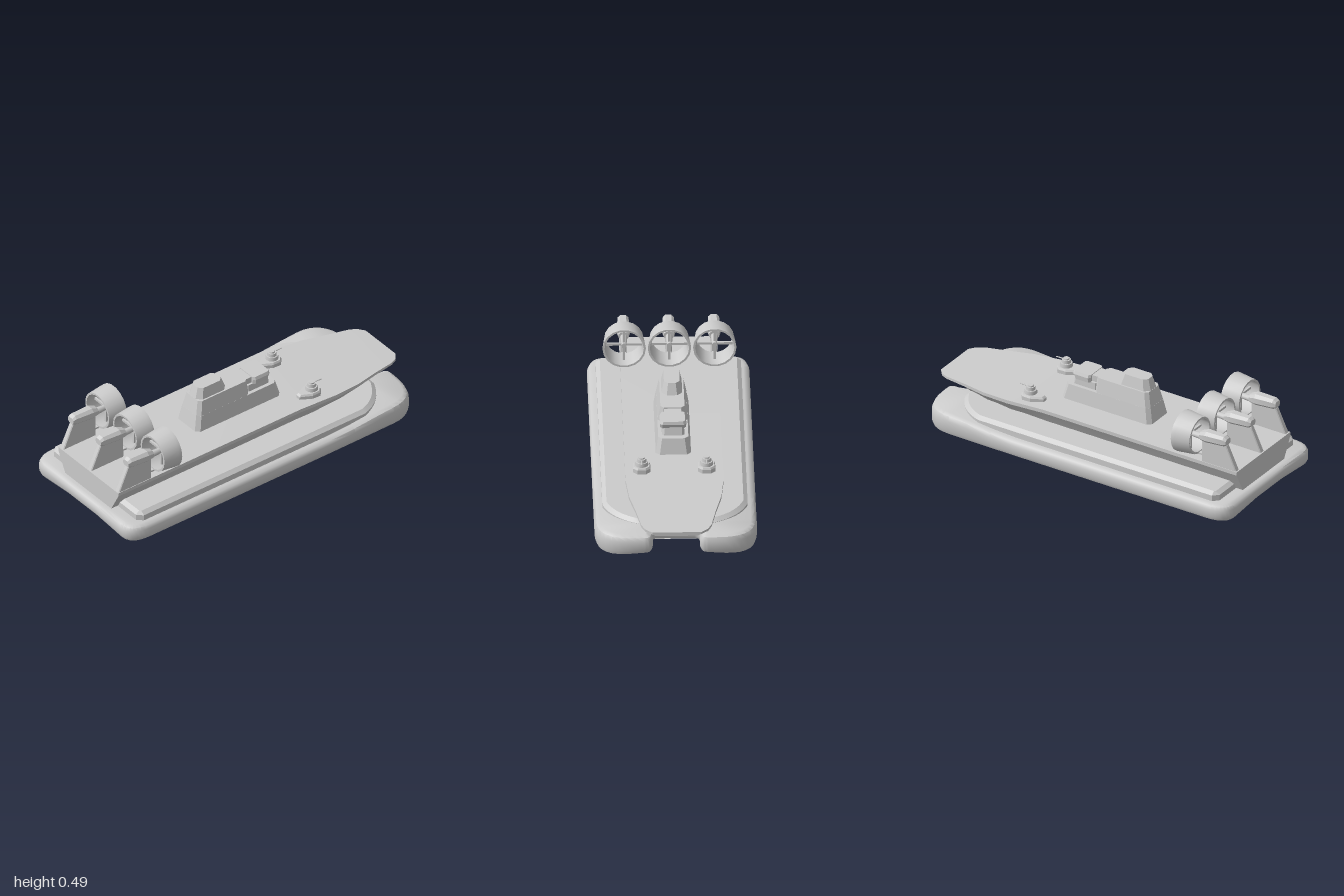
import * as THREE from 'three';
import { toCreasedNormals } from 'three/addons/utils/BufferGeometryUtils.js';

const grey = new THREE.MeshStandardMaterial({ color: 0xcccccc });

function mesh(name, geometry, parent) {
  const m = new THREE.Mesh(geometry, grey);
  m.name = name;
  parent.add(m);
  return m;
}

// Skin a closed solid over rings of [x, y, z] points, facing outward
function loft(rings, crease = 0.5) {
  const n = rings[0].length, pos = rings.flat(2), idx = [];
  for (let r = 0; r < rings.length - 1; r++) {
    for (let i = 0; i < n; i++) {
      const a = r * n + i, b = r * n + (i + 1) % n;
      idx.push(a, b, b + n, a, b + n, a + n);
    }
  }
  [0, rings.length - 1].forEach((r, end) => {
    const c = pos.length / 3;
    for (let k = 0; k < 3; k++) pos.push(rings[r].reduce((s, p) => s + p[k], 0) / n);
    for (let i = 0; i < n; i++) {
      const a = r * n + i, b = r * n + (i + 1) % n;
      idx.push(...(end ? [a, b, c] : [b, a, c]));
    }
  });
  // turn the faces round if the signed volume is negative
  const v = (i) => new THREE.Vector3().fromArray(pos, i * 3);
  let volume = 0;
  for (let i = 0; i < idx.length; i += 3) volume += v(idx[i]).dot(v(idx[i + 1]).cross(v(idx[i + 2])));
  if (volume < 0) idx.reverse();
  const g = new THREE.BufferGeometry();
  g.setAttribute('position', new THREE.Float32BufferAttribute(pos, 3));
  g.setIndex(idx);
  return toCreasedNormals(g, crease);
}

// Horizontal rectangle with cut corners
const plan = (x0, x1, h, c, y, z = 0) => [
  [x0 + c, -h], [x1 - c, -h], [x1, -h + c], [x1, h - c],
  [x1 - c, h], [x0 + c, h], [x0, h - c], [x0, -h + c],
].map(([x, w]) => [x, y, z + w]);

// Half outline mirrored in z to a full loop
function mirrored(shape, divisions) {
  const half = shape.getPoints(divisions);
  const other = half.slice(1, -1).reverse().map((p) => new THREE.Vector2(p.x, -p.y));
  return half.concat(other);
}

// Loop moved inward by d, as [x, z] pairs
function inset(loop, d) {
  return loop.map((p, i) => {
    const a = loop[(i + loop.length - 1) % loop.length], b = loop[(i + 1) % loop.length];
    const t = b.clone().sub(a).normalize();
    return [p.x - t.y * d, p.y + t.x * d];
  });
}

function skirtGeometry() {
  const s = new THREE.Shape();
  s.moveTo(0.8, 0);
  s.lineTo(0.8, 0.09);
  s.quadraticCurveTo(0.8, 0.125, 0.84, 0.125);
  s.lineTo(0.9, 0.125);
  s.quadraticCurveTo(0.945, 0.125, 0.945, 0.17);
  s.lineTo(0.945, 0.21);
  s.quadraticCurveTo(0.945, 0.43, 0.76, 0.43);
  for (const x of [0.65, 0.5, 0.35, 0, -0.87]) s.lineTo(x, 0.43);
  s.quadraticCurveTo(-1, 0.43, -1, 0.33);
  s.lineTo(-1, 0.12);
  s.lineTo(-1, 0);
  const loop = mirrored(s, 8);
  const low = (z) => 0.022 * (1 - THREE.MathUtils.smoothstep(Math.abs(z), 0.12, 0.4));
  const high = (x) => 0.097 + 0.033 * THREE.MathUtils.smoothstep(x, 0.35, 0.85);
  const ring = (d, f) => inset(loop, d).map(([x, z]) => [x, low(z) + (high(x) - low(z)) * f, z]);
  // flat centre strip of the underside and top
  const core = (w, f) => inset(loop, 0.03).map(([x, z]) => {
    const cx = Math.min(x, 0.78), cz = THREE.MathUtils.clamp(z, -w, w);
    return [cx, low(cz) + (high(cx) - low(cz)) * f, cz];
  });
  return loft([core(0, 0), core(0.12, 0), ring(0.03, 0), ring(0.008, 0.1), ring(0, 0.28),
    ring(0, 0.72), ring(0.01, 0.91), ring(0.032, 1), core(0.12, 1), core(0, 1)], 0.7);
}

function upperSkirtGeometry() {
  const s = new THREE.Shape();
  s.moveTo(0.8, 0);
  s.lineTo(0.8, 0.2);
  s.quadraticCurveTo(0.74, 0.345, 0.6, 0.385);
  s.lineTo(-0.88, 0.385);
  s.lineTo(-0.91, 0.355);
  s.lineTo(-0.91, 0);
  const loop = mirrored(s, 8);
  const ring = (d, y) => inset(loop, d).map(([x, z]) => [x, y, z]);
  return loft([ring(0, 0.08), ring(0, 0.13), ring(0.022, 0.148)]);
}

function hullGeometry() {
  // x, deck half width, deck height, edge depth, keel half width, keel height
  const stations = [
    [-0.955, 0.26, 0.235, 0.02, 0.2, 0.1], [0.27, 0.26, 0.235, 0.02, 0.2, 0.11],
    [0.5, 0.26, 0.222, 0.02, 0.19, 0.11], [0.66, 0.245, 0.213, 0.018, 0.165, 0.11],
    [0.8, 0.212, 0.205, 0.016, 0.13, 0.115], [0.93, 0.186, 0.197, 0.014, 0.12, 0.152],
    [0.97, 0.167, 0.194, 0.013, 0.115, 0.163], [1, 0.13, 0.192, 0.012, 0.11, 0.17],
  ];
  return loft(stations.map(([x, w, y, e, k, b]) => [
    [x, y, w], [x, y, -w], [x, y - e, -w], [x, b, -k], [x, b, k], [x, y - e, w],
  ]), 0.3);
}

function fanUnit(z) {
  const unit = new THREE.Group();
  unit.name = 'fanUnit';
  unit.position.set(0, 0.375, z);
  // duct ring, flaring toward the bow
  const wall = [[0.093, 0], [0.104, 0], [0.114, 0.09], [0.115, 0.11], [0.104, 0.11], [0.098, 0.09], [0.093, 0]];
  const duct = new THREE.LatheGeometry(wall.map((p) => new THREE.Vector2(...p)), 18);
  duct.rotateZ(-Math.PI / 2);
  const ductMesh = mesh('fanDuct', toCreasedNormals(duct, 0.5), unit);
  ductMesh.position.x = -0.71;
  // four blades and hub
  for (let i = 0; i < 2; i++) {
    const blade = mesh('fanBlades', new THREE.BoxGeometry(0.012, 0.194, 0.013), unit);
    blade.position.x = -0.65;
    blade.rotation.x = i * Math.PI / 2;
  }
  const hub = mesh('fanHub', new THREE.CylinderGeometry(0.014, 0.02, 0.1, 10), unit);
  hub.rotation.z = -Math.PI / 2;
  hub.position.x = -0.68;
  // engine pod with cut corners
  const section = (x, y0, y1, h, c) => [
    [y0, -h + c], [y0 + c, -h], [y1 - c, -h], [y1, -h + c],
    [y1, h - c], [y1 - c, h], [y0 + c, h], [y0, h - c],
  ].map(([y, w]) => [x, y, w]);
  mesh('enginePod', loft([section(-0.888, 0.0, 0.035, 0.024, 0.01), section(-0.87, -0.01, 0.047, 0.029, 0.014),
    section(-0.76, -0.018, 0.047, 0.035, 0.017), section(-0.72, -0.015, 0.03, 0.026, 0.012)], 0.3), unit);
  // sloping pylon and duct strut
  mesh('pylon', loft([plan(-0.95, -0.73, 0.017, 0.005, -0.145), plan(-0.885, -0.73, 0.015, 0.005, -0.005)], 0.3), unit);
  const strut = mesh('ductStrut', new THREE.BoxGeometry(0.06, 0.01, 0.025), unit);
  strut.position.set(-0.71, -0.102, 0);
  return unit;
}

function gunMount(z) {
  const gun = new THREE.Group();
  gun.name = 'gunMount';
  gun.position.set(0.405, 0.215, z);
  const base = (s, y) => [[-0.09, 0.014], [-0.025, 0.046], [0.025, 0.046], [0.046, 0.022]]
    .flatMap(([x, w], i, a) => [[x, w], [a[3 - i][0], -a[3 - i][1]]])
    .sort((a, b) => Math.atan2(a[1], a[0]) - Math.atan2(b[1], b[0]))
    .map(([x, w]) => [x * s, y, w * s]);
  mesh('gunBase', loft([base(1, 0), base(1, 0.033), base(0.88, 0.043)], 0.3), gun);
  [[0.036, 0.04, 0.064], [0.026, 0.064, 0.082], [0.017, 0.08, 0.09]].forEach(([r, y0, y1]) => {
    const g = new THREE.CylinderGeometry(r * 0.92, r, y1 - y0, 12);
    mesh('gunTurret', toCreasedNormals(g, 0.6), gun).position.y = (y0 + y1) / 2;
  });
  const barrel = mesh('gunBarrel', new THREE.CylinderGeometry(0.003, 0.004, 0.06, 6), gun);
  barrel.rotation.z = -Math.PI / 2;
  barrel.position.set(0.035, 0.078, 0);
  return gun;
}

export function createModel() {
  const model = new THREE.Group();
  model.name = 'hovercraft';
  mesh('airSkirt', skirtGeometry(), model);
  mesh('upperSkirt', upperSkirtGeometry(), model);
  mesh('hull', hullGeometry(), model);

  // stepped deckhouse: name, lower plan, upper plan
  const tiers = [
    ['deckhouse', [-0.3, 0.27, 0.095, 0.022, 0.225], [-0.28, 0.245, 0.08, 0.02, 0.322]],
    ['upperHouse', [-0.28, 0.068, 0.08, 0.02, 0.32], [-0.26, 0.065, 0.064, 0.018, 0.405]],
    ['bridge', [0.06, 0.215, 0.06, 0.012, 0.32], [0.06, 0.205, 0.058, 0.012, 0.362]],
    ['bridgeWindows', [0.1, 0.2, 0.068, 0.012, 0.358], [0.1, 0.212, 0.07, 0.012, 0.385]],
    ['bridgeRoof', [0.1, 0.212, 0.07, 0.012, 0.385], [0.1, 0.208, 0.063, 0.012, 0.402]],
    ['bridgeLink', [0.06, 0.11, 0.045, 0.004, 0.355], [0.06, 0.11, 0.045, 0.004, 0.398]],
    ['funnel', [-0.26, -0.06, 0.056, 0.028, 0.4], [-0.24, -0.085, 0.042, 0.022, 0.467]],
  ];
  for (const [name, a, b] of tiers) mesh(name, loft([plan(...a), plan(...b)], 0.3), model);

  for (const z of [-0.24, 0, 0.24]) model.add(fanUnit(z));
  for (const z of [-0.172, 0.172]) model.add(gunMount(z));
  return model;
}
